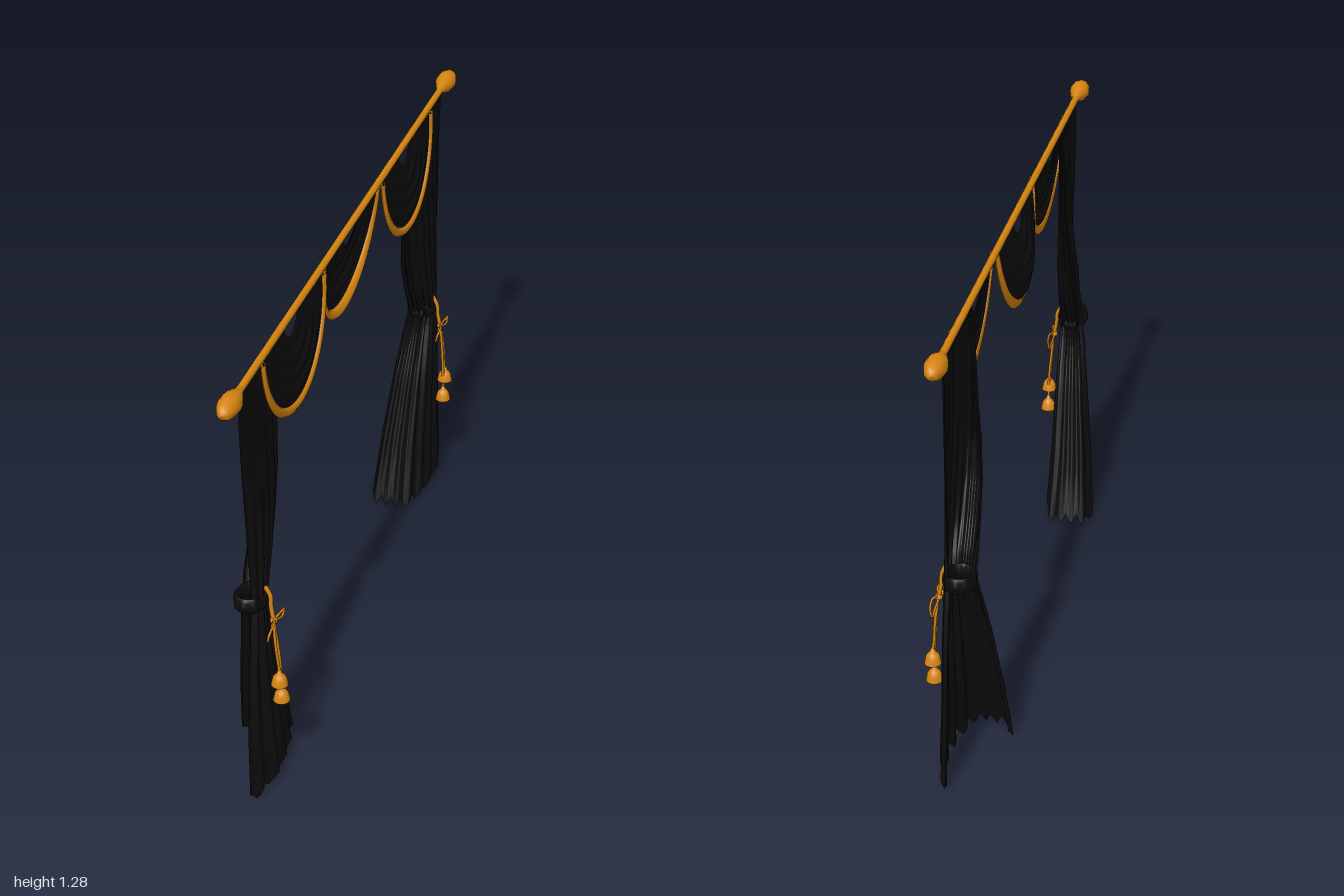
import * as THREE from 'three';

const V = (x, y, z) => new THREE.Vector3(x, y, z);
const cloth = new THREE.MeshStandardMaterial({ color: 0x0c0c0c, side: THREE.DoubleSide });
const gold = new THREE.MeshStandardMaterial({ color: 0xd68510, side: THREE.DoubleSide });
const ROD_X = 0.012, ROD_Y = 1.255;

function mesh(name, geometry, material, parent) {
  const m = new THREE.Mesh(geometry, material);
  m.name = name;
  parent.add(m);
  return m;
}

// Grid surface: f(a, b) returns a point, a and b run from 0 to 1
function surface(f, na, nb) {
  const pos = [], idx = [];
  for (let j = 0; j <= nb; j++) {
    for (let i = 0; i <= na; i++) {
      pos.push(...f(i / na, j / nb).toArray());
      if (i < na && j < nb) {
        const p = j * (na + 1) + i, q = p + na + 1;
        idx.push(p, p + 1, q, p + 1, q + 1, q);
      }
    }
  }
  const g = new THREE.BufferGeometry();
  g.setAttribute('position', new THREE.Float32BufferAttribute(pos, 3));
  g.setIndex(idx);
  g.computeVertexNormals();
  return g;
}

function rope(name, pts, r, parent, closed = false) {
  const path = new THREE.CatmullRomCurve3(pts, closed);
  return mesh(name, new THREE.TubeGeometry(path, 28, r, 6, closed), gold, parent);
}

// Curtain sections from top to hem: y, outer z, inner z, back x, front x
const ROWS = [
  [1.25, 0.888, 0.60, -0.002, 0.018],
  [1.15, 0.885, 0.60, -0.01, 0.018],
  [1.00, 0.876, 0.60, -0.016, 0.022],
  [0.90, 0.868, 0.607, -0.026, 0.028],
  [0.80, 0.859, 0.633, -0.034, 0.032],
  [0.70, 0.848, 0.675, -0.035, 0.034],
  [0.63, 0.84, 0.717, -0.035, 0.034],
  [0.585, 0.832, 0.735, -0.032, 0.032],
  [0.54, 0.842, 0.722, -0.04, 0.035],
  [0.40, 0.868, 0.664, -0.058, 0.042],
  [0.20, 0.885, 0.603, -0.08, 0.05],
  [0.005, 0.893, 0.55, -0.094, 0.06],
];
// Plan of the hanging cloth in unit coordinates: a front sheet that turns back at the inner edge
const PLAN = new THREE.CatmullRomCurve3([
  V(0.75, 0, 1), V(0.95, 0, 0.6), V(0.85, 0, 0.2), V(0.7, 0, 0.02), V(0.3, 0, 0.0), V(0.02, 0, 0.05), V(0.03, 0, 0.22),
]);

function curtainPoint(t, v, s) {
  const k = Math.min(v * (ROWS.length - 1), ROWS.length - 1.0001);
  const i = Math.floor(k), A = ROWS[i], B = ROWS[i + 1];
  const [y, zo, zi, xb, xf] = A.map((a, n) => THREE.MathUtils.lerp(a, B[n], k - i));
  const p = PLAN.getPointAt(t), d = PLAN.getTangentAt(t);
  // Pleats push the cloth along the normal of its plan
  const pleat = Math.sin(t * Math.PI * 2 * 9) + 0.35 * Math.sin(t * 41 + 2 * v);
  const amp = 0.003 + 0.006 * v;
  const n = V(d.z * (xf - xb), 0, -d.x * (zo - zi)).normalize();
  const saw = Math.abs(((t * 10) % 1) * 2 - 1);
  const tooth = 0.032 * saw * Math.max(0, 1 - y / 0.18);
  const sag = y > 1.2 ? 0.006 * Math.sin(t * 110) * (y - 1.2) / 0.05 : 0;
  return V(
    THREE.MathUtils.lerp(xb, xf, p.x) + n.x * amp * pleat,
    y + tooth + sag,
    s * (THREE.MathUtils.lerp(zi, zo, p.z) + n.z * amp * 0.6 * pleat));
}

function tassel(parent, x, y, z) {
  const prof = [[0.001, 0.046], [0.006, 0.044], [0.007, 0.036], [0.014, 0.03], [0.019, 0.02], [0.023, 0.002], [0.021, 0], [0.001, 0.003]];
  const m = mesh('tassel', new THREE.LatheGeometry(prof.map(p => new THREE.Vector2(...p)).reverse(), 12), gold, parent);
  m.position.set(x, y, z);
}

function curtain(s) {
  const g = new THREE.Group();
  g.name = s > 0 ? 'leftCurtain' : 'rightCurtain';
  mesh('drape', surface((t, v) => curtainPoint(t, v, s), 160, 66), cloth, g);

  // Gathered tieback band around the waist
  mesh('tieback', surface((a, b) => {
    const t = a * Math.PI * 2, c = b * Math.PI * 2;
    const r = 0.009 + 0.002 * Math.sin(t * 9);
    return V(-0.003 + Math.cos(t) * (0.034 + r * Math.cos(c)),
      0.592 + 0.022 * Math.sin(c) + 0.006 * Math.sin(t),
      s * (0.787 + Math.sin(t) * (0.05 + r * Math.cos(c))));
  }, 48, 10), cloth, g);

  // Cord knot, bow loops and hanging strands
  const cord = 0.0042, kx = 0.054, ky = 0.53, kz = 0.782;
  rope('cordOverBand', [V(0.03, 0.63, s * 0.778), V(0.045, 0.6, s * 0.778), V(0.047, 0.57, s * 0.78), V(kx, ky, s * kz)], 0.006, g);
  mesh('knot', new THREE.SphereGeometry(0.01, 10, 8), gold, g).position.set(kx, ky, s * kz);
  for (const d of [-1, 1]) {
    rope('bowLoop', [
      V(kx, ky, s * kz), V(kx + 0.01, ky + 0.008, s * (kz + d * 0.03)), V(kx + 0.008, ky - 0.004, s * (kz + d * 0.06)),
      V(kx + 0.004, ky - 0.024, s * (kz + d * 0.058)), V(kx + 0.002, ky - 0.016, s * (kz + d * 0.03)),
    ], cord * 0.8, g, true);
  }
  for (const [y, z] of [[0.335, 0.79], [0.275, 0.776]]) {
    rope('strand', [V(kx, ky, s * kz), V(0.061, 0.47, s * (z + 0.004)), V(0.067, 0.4, s * z), V(0.07, y + 0.04, s * z)], cord, g);
    tassel(g, 0.07, y, s * z);
  }
  return g;
}

// Half-round swag; bulge is the direction and depth of its belly along x
function swag(zc, bulge) {
  const g = new THREE.Group();
  g.name = 'swag';
  const at = (a, r) => {
    const t = (r - 0.05) / 0.2, th = a * Math.PI, belly = Math.sin(th);
    const x = ROD_X + bulge * belly * Math.sin(Math.PI * (0.05 + 0.78 * t)) + 0.0035 * belly * Math.sin(t * Math.PI * 9);
    return V(x + 0.012 * t * (bulge > 0 ? 1 : 0.4), ROD_Y - 0.005 - r * Math.sin(th), zc + r * Math.cos(th));
  };
  mesh('swagCloth', surface((a, b) => at(a, 0.05 + 0.19 * b), 48, 36), cloth, g);
  // Trim: a flattened band with thickness
  mesh('swagTrim', surface((a, b) => {
    const c = b * Math.PI * 2;
    const p = at(a, 0.238 + 0.013 * Math.cos(c));
    p.x += 0.006 * Math.sin(c);
    return p;
  }, 48, 8), gold, g);
  return g;
}

export function createModel() {
  const root = new THREE.Group();
  root.name = 'curtains';

  // Rod and finials
  const rod = mesh('rod', new THREE.CylinderGeometry(0.01, 0.01, 1.8, 12), gold, root);
  rod.rotation.x = Math.PI / 2;
  rod.position.set(ROD_X, ROD_Y, 0);
  const bulb = [[0.01, 0.87], [0.013, 0.885], [0.019, 0.9], [0.026, 0.92], [0.029, 0.942], [0.027, 0.962], [0.021, 0.982], [0.012, 0.996], [0, 1]];
  for (const s of [1, -1]) {
    const f = mesh('finial', new THREE.LatheGeometry(bulb.map(p => new THREE.Vector2(...p)), 10), gold, root);
    f.rotation.x = s * Math.PI / 2;
    f.position.set(ROD_X, ROD_Y, 0);
    root.add(curtain(s));
  }

  // Swags: the middle one bellies backward, the outer two forward
  root.add(swag(0, -0.038), swag(0.5, 0.018), swag(-0.5, 0.018));
  return root;
}
